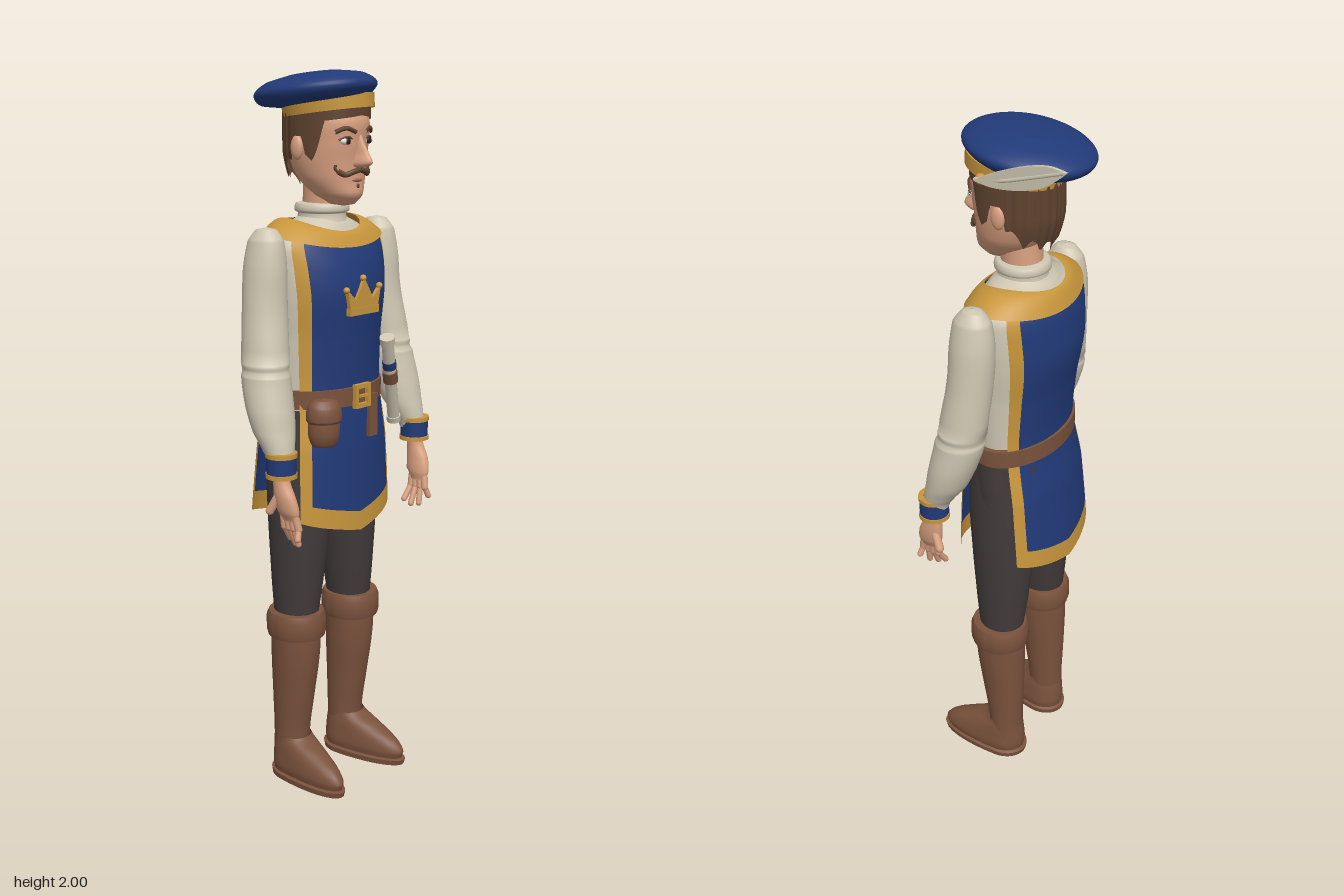
import * as THREE from 'three';
import { toCreasedNormals } from 'three/addons/utils/BufferGeometryUtils.js';
import { ParametricGeometry } from 'three/addons/geometries/ParametricGeometry.js';

const paint = (name, color) => Object.assign(new THREE.MeshStandardMaterial({ color, side: THREE.DoubleSide }), { name });
const V = (x, y, z) => new THREE.Vector3(x, y, z);
const flat = pts => pts.map(p => new THREE.Vector2(...p));

export function createModel() {
  const model = new THREE.Group();
  model.name = 'courtMessenger';
  const blue = paint('blueCloth', 0x213a78), gold = paint('goldTrim', 0xc8963c), leather = paint('brownLeather', 0x7a523c);
  const hairBrown = paint('hairBrown', 0x5f432f), linen = paint('creamLinen', 0xcfc7b3), charcoal = paint('charcoalCloth', 0x423b3b);
  const skin = paint('skin', 0xd9a080), dark = paint('eyeDark', 0x2a1d18), white = paint('eyeWhite', 0xe8e4dc), lip = paint('lip', 0xa8685a);

  function add(name, geometry, material, parent = model) {
    const mesh = new THREE.Mesh(geometry, material);
    mesh.name = name;
    parent.add(mesh);
    return mesh;
  }

  // Interpolate between rows of equal length: the first column in straight lines, the rest smoothly unless hard
  function sample(rows, v, smooth = true) {
    const n = rows.length - 1, t = Math.min(Math.max(v, 0), 1) * n, i = Math.min(Math.floor(t), n - 1), f = t - i;
    const p = k => rows[Math.min(Math.max(k, 0), n)];
    return rows[i].map((b, c) => {
      const d = p(i + 1)[c];
      if (!smooth || c === 0) return b + (d - b) * f;
      const m0 = (d - p(i - 1)[c]) / 2, m1 = (p(i + 2)[c] - b) / 2;
      return b + m0 * f + (3 * (d - b) - 2 * m0 - m1) * f * f + (2 * (b - d) + m0 + m1) * f * f * f;
    });
  }

  // Stack of ovals: [y, centre x, centre z, half width, front depth, back depth (same as front if left out)]
  function loft(name, material, ovals, { hard = false, parent = model, n = 32 } = {}) {
    const rows = ovals.map(([y, cx, cz, a, f, b = f]) => [y, cx, cz, a, f, b]);
    let g = new ParametricGeometry((u, v, out) => {
      const [y, cx, cz, a, f, b] = sample(rows, v, !hard), t = u * Math.PI * 2, c = Math.cos(t);
      out.set(cx + a * Math.sin(t), y, cz + (c > 0 ? f : b) * c);
    }, n, (rows.length - 1) * (hard ? 1 : 4));
    if (hard) g = toCreasedNormals(g, 0.6);
    add(name, g, material, parent);
  }
  // Closed band with crisp edges
  const band = (name, m, y0, y1, cx, cz, a, f, b = f) => loft(name, m,
    [[y0, cx, cz, a - 0.015, f - 0.015, b - 0.015], [y0, cx, cz, a, f, b], [y1, cx, cz, a, f, b], [y1, cx, cz, a - 0.015, f - 0.015, b - 0.015]], { hard: true });

  // Straight piece between two points
  function rod(name, m, p, q, r, round = true) {
    const d = q.clone().sub(p), len = d.length();
    const mesh = add(name, round ? new THREE.CapsuleGeometry(r, len, 5, 12) : new THREE.CylinderGeometry(r, r, len, 20), m);
    mesh.position.copy(p).addScaledVector(d, 0.5);
    mesh.quaternion.setFromUnitVectors(V(0, 1, 0), d.normalize());
  }
  function ball(name, m, x, y, z, a, b = a, c = a) {
    const mesh = add(name, new THREE.SphereGeometry(1, 20, 14), m);
    mesh.position.set(x, y, z);
    mesh.scale.set(a, b, c);
  }

  // Shirt, hips and stand-up collar
  loft('shirtBody', linen, [[1.1, 0, 0, 0.17, 0.115, 0.1], [1.3, 0, 0, 0.176, 0.128, 0.113], [1.42, 0, 0, 0.185, 0.14, 0.134],
    [1.52, 0, 0, 0.187, 0.12, 0.124], [1.565, 0, 0, 0.175, 0.1, 0.11], [1.6, 0, 0, 0.11, 0.08, 0.085], [1.625, 0, 0, 0.06, 0.06, 0.06]]);
  loft('collar', linen, [[1.58, 0, 0, 0.075, 0.08, 0.075], [1.63, 0, 0, 0.064, 0.068, 0.064], [1.635, 0, 0, 0.074, 0.077, 0.072],
    [1.655, 0, 0, 0.071, 0.074, 0.069], [1.66, 0, 0, 0.05, 0.05, 0.05]]);
  loft('hips', charcoal, [[0.85, 0, 0, 0.08, 0.05, 0.05], [0.92, 0, 0, 0.165, 0.105, 0.1], [1.0, 0, 0, 0.176, 0.116, 0.106], [1.15, 0, 0, 0.168, 0.115, 0.1]]);

  // Tabard: two wrapped panels with a pointed hem and gold border
  const arc = 1.06, edge = 0.79, trim = 0.055;
  function panel(name, side, rows) {
    const hem = u => 0.757 + 0.048 * Math.abs(u);
    const border = u => hem(u) + trim;
    const top = u => 1.56 + 0.025 * Math.sin(u * arc) ** 2;
    const piece = (part, m, u0, u1, low, high, n, k) => add(name + part, new ParametricGeometry((s, t, out) => {
      const u = u0 + (u1 - u0) * s, y = low(u) + (high(u) - low(u)) * t;
      let i = 0;
      while (i < rows.length - 2 && y > rows[i + 1][0]) i++;
      const f = (y - rows[i][0]) / (rows[i + 1][0] - rows[i][0]);
      const [, a, cz, b] = sample(rows, (i + f) / (rows.length - 1));
      out.set(side * a * Math.sin(u * arc), y, cz + side * b * Math.cos(u * arc));
    }, n, k), m);
    piece('Cloth', blue, -edge, edge, border, top, 24, 36);
    piece('Hem', gold, -1, 1, hem, border, 28, 3);
    for (const s of [-1, 1]) piece('SideTrim', gold, s < 0 ? -1 : edge, s < 0 ? -edge : 1, border, top, 4, 36);
  }
  panel('tabardFront', 1, [[0.74, 0.212, 0.04, 0.11], [1.0, 0.203, 0.03, 0.113], [1.15, 0.187, 0.01, 0.125], [1.3, 0.189, 0, 0.142],
    [1.42, 0.199, 0, 0.152], [1.5, 0.205, 0, 0.139], [1.56, 0.203, 0, 0.115], [1.62, 0.17, 0, 0.085]]);
  panel('tabardBack', -1, [[0.74, 0.212, -0.045, 0.113], [1.0, 0.203, -0.027, 0.108], [1.15, 0.187, 0, 0.112], [1.3, 0.189, 0, 0.125],
    [1.42, 0.199, 0, 0.146], [1.5, 0.205, 0, 0.142], [1.56, 0.203, 0, 0.13], [1.62, 0.17, 0, 0.1]]);
  add('tabardYoke', new ParametricGeometry((u, v, out) => {
    const t = u * Math.PI * 2, c = Math.cos(t), s2 = Math.sin(t) ** 2, back = (1 - c) / 2;
    const y0 = 1.545 + 0.028 * s2 + 0.01 * back, y1 = 1.586 + 0.022 * s2 + 0.022 * back;
    const a = 0.203 - 0.09 * v, b = 0.124 - 0.03 * v + back * 0.012;
    out.set(a * Math.sin(t), y0 + (y1 - y0) * Math.sin(v * Math.PI / 2), b * c);
  }, 48, 6), gold);

  // Crown ornament on the chest
  const points = [[-0.052, 1.37], [0.052, 1.37], [0.066, 1.438], [0.034, 1.41], [0, 1.465], [-0.034, 1.41], [-0.066, 1.438]];
  add('crownOrnament', new THREE.ExtrudeGeometry(new THREE.Shape(flat(points)), { depth: 0.012, bevelEnabled: false }), gold).position.z = 0.146;
  for (const i of [2, 4, 6]) ball('crownTip', gold, ...points[i], 0.152, 0.009);
  add('crownBase', new THREE.BoxGeometry(0.115, 0.02, 0.016), gold).position.set(0, 1.378, 0.152);

  // Belt, buckle, hanging end and pouch
  band('belt', leather, 1.118, 1.168, 0, 0, 0.19, 0.146, 0.12);
  const frame = new THREE.Shape(flat([[-0.03, -0.033], [0.03, -0.033], [0.03, 0.033], [-0.03, 0.033]]));
  frame.holes.push(new THREE.Path(flat([[-0.019, -0.021], [-0.019, 0.021], [0.019, 0.021], [0.019, -0.021]])));
  add('buckle', new THREE.ExtrudeGeometry(frame, { depth: 0.014, bevelEnabled: false }), gold).position.set(0, 1.143, 0.143);
  add('bucklePin', new THREE.BoxGeometry(0.04, 0.007, 0.008), gold).position.set(0.005, 1.143, 0.154);
  add('beltEnd', new THREE.BoxGeometry(0.034, 0.12, 0.01), leather).position.set(0.05, 1.08, 0.145);
  const pouch = new THREE.Group();
  pouch.name = 'pouch';
  pouch.position.set(-0.139, 1.02, 0.138);
  pouch.rotation.y = -0.5;
  model.add(pouch);
  loft('pouchBag', leather, [[0, 0, 0, 0.005, 0.005], [0.006, 0, 0, 0.032, 0.024], [0.035, 0, 0, 0.043, 0.034], [0.08, 0, 0, 0.042, 0.032], [0.12, 0, 0, 0.03, 0.02]], { parent: pouch });
  loft('pouchFlap', leather, [[0.07, 0, 0, 0.044, 0.037], [0.078, 0, 0, 0.049, 0.041], [0.11, 0, 0, 0.047, 0.037], [0.13, 0, 0, 0.035, 0.022], [0.137, 0, 0, 0.002, 0.002]], { parent: pouch });

  // Rolled scroll tucked in the belt
  const s0 = V(0.083, 1.295, 0.168), s1 = V(0.183, 1.035, 0.112), along = t => s0.clone().lerp(s1, t);
  rod('scroll', linen, s0, s1, 0.017, false);
  for (const [m, a, b, r] of [[linen, 0, 0.07, 0.021], [blue, 0.28, 0.36, 0.0195], [leather, 0.4, 0.52, 0.021], [linen, 0.94, 1, 0.02]])
    rod('scrollBand', m, along(a), along(b), r, false);

  for (const s of [-1, 1]) {
    const mirror = rows => rows.map(([y, x, ...r]) => [y, x * s, ...r]);
    // Sleeves, cuffs and hands
    loft('sleeve', linen, mirror([[1.0, 0.272, 0.105, 0.034, 0.034], [1.03, 0.27, 0.097, 0.042, 0.042], [1.08, 0.264, 0.074, 0.058, 0.056], [1.14, 0.26, 0.055, 0.065, 0.064],
      [1.22, 0.253, 0.035, 0.064, 0.068], [1.237, 0.25, 0.031, 0.06, 0.064], [1.255, 0.248, 0.028, 0.062, 0.066], [1.4, 0.232, 0.012, 0.06, 0.061],
      [1.5, 0.226, 0.008, 0.055, 0.061], [1.57, 0.222, 0.008, 0.044, 0.052], [1.6, 0.22, 0.008, 0.026, 0.03], [1.607, 0.22, 0.008, 0.001, 0.001]]));
    band('cuff', blue, 0.968, 1.028, 0.276 * s, 0.112, 0.04, 0.04);
    for (const y of [0.962, 1.018]) band('cuffTrim', gold, y, y + 0.012, 0.276 * s, 0.112, 0.0425, 0.0425);
    loft('palm', skin, mirror([[0.845, 0.268, 0.137, 0.012, 0.025], [0.87, 0.272, 0.133, 0.02, 0.036], [0.91, 0.277, 0.125, 0.022, 0.035],
      [0.95, 0.278, 0.115, 0.021, 0.025], [0.99, 0.276, 0.11, 0.022, 0.024]]));
    for (const [k, x, y, z] of [[0, 0.24, 0.785, 0.108], [1, 0.243, 0.775, 0.131], [2, 0.254, 0.778, 0.152], [3, 0.275, 0.8, 0.17]]) {
      const mid = V(s * 0.266, 0.825, 0.113 + k * 0.017);
      rod('finger', skin, V(s * 0.272, 0.87, 0.113 + k * 0.014), mid, 0.0105);
      rod('fingertip', skin, mid, V(s * x, y, z), 0.0085);
    }
    rod('thumb', skin, V(s * 0.282, 0.92, 0.112), V(s * 0.294, 0.868, 0.086), 0.012);

    // Legs and boots
    loft('leg', charcoal, mirror([[0.44, 0.113, 0.005, 0.056, 0.06], [0.6, 0.106, 0.005, 0.069, 0.077], [0.8, 0.096, 0.005, 0.084, 0.095],
      [0.95, 0.09, 0.004, 0.087, 0.106], [1.1, 0.085, 0, 0.08, 0.105]]));
    const boot = new THREE.Group();
    boot.name = 'boot';
    boot.position.x = 0.115 * s;
    model.add(boot);
    loft('bootShaft', leather, [[0.05, 0.003 * s, -0.01, 0.05, 0.055], [0.13, 0, -0.01, 0.051, 0.052], [0.25, 0, -0.003, 0.056, 0.063], [0.38, 0, 0.005, 0.064, 0.074], [0.47, 0, 0.007, 0.066, 0.076]], { parent: boot });
    loft('bootCuff', leather, [[0.445, 0, 0.009, 0.062, 0.07], [0.445, 0, 0.009, 0.079, 0.083], [0.46, 0, 0.009, 0.083, 0.087], [0.5, 0, 0.009, 0.083, 0.087], [0.517, 0, 0.009, 0.077, 0.08], [0.517, 0, 0.009, 0.055, 0.06]], { hard: true, parent: boot });
    const foot = new THREE.Group();
    foot.name = 'foot';
    foot.rotation.y = 0.1 * s;
    boot.add(foot);
    loft('sole', leather, [[0, 0, 0, 0.001, 0.001], [0, 0, 0, 0.06, 0.205, 0.072], [0.016, 0, 0, 0.062, 0.21, 0.075], [0.02, 0, 0, 0.055, 0.19, 0.065]], { hard: true, parent: foot });
    loft('bootFoot', leather, [[0.015, 0, 0, 0.054, 0.197, 0.065], [0.04, 0, 0, 0.058, 0.203, 0.068], [0.07, 0, 0, 0.056, 0.175, 0.067], [0.1, 0, 0, 0.053, 0.115, 0.064], [0.13, 0, 0, 0.048, 0.05, 0.058]], { parent: foot });

    // Ears, eyes, brows and moustache
    ball('ear', skin, s * 0.104, 1.805, 0.008, 0.012, 0.032, 0.02);
    ball('eyeWhite', white, s * 0.042, 1.823, 0.125, 0.019, 0.01, 0.01);
    ball('iris', dark, s * 0.041, 1.823, 0.132, 0.009, 0.009, 0.005);
    const strip = (name, r, ...pts) => add(name, new THREE.TubeGeometry(new THREE.CatmullRomCurve3(pts.map(([x, y, z]) => V(s * x, y, z))), 12, r, 8), hairBrown);
    strip('upperLid', 0.003, [0.022, 1.827, 0.132], [0.042, 1.834, 0.132], [0.063, 1.826, 0.12]);
    strip('brow', 0.006, [0.018, 1.846, 0.139], [0.045, 1.856, 0.13], [0.07, 1.846, 0.112]);
    strip('moustache', 0.0075, [0, 1.749, 0.138], [0.022, 1.744, 0.135], [0.043, 1.737, 0.124], [0.058, 1.746, 0.112]);
    strip('moustacheTip', 0.004, [0.055, 1.742, 0.114], [0.064, 1.752, 0.108], [0.063, 1.762, 0.108]);
  }

  // Head, neck and face
  loft('neck', skin, [[1.58, 0, 0, 0.056, 0.058], [1.66, 0, 0.005, 0.054, 0.056], [1.74, 0, 0.01, 0.056, 0.056]]);
  loft('head', skin, [[1.652, 0, 0.08, 0.004, 0.004], [1.657, 0, 0.075, 0.03, 0.035, 0.04], [1.68, 0, 0.055, 0.057, 0.077, 0.07], [1.72, 0, 0.035, 0.082, 0.096, 0.09],
    [1.77, 0, 0.022, 0.095, 0.111, 0.105], [1.82, 0, 0.02, 0.1, 0.119, 0.112], [1.88, 0, 0.02, 0.1, 0.12, 0.115], [1.94, 0, 0.01, 0.08, 0.09, 0.09]]);
  loft('nose', skin, [[1.752, 0, 0.12, 0.003, 0.012], [1.757, 0, 0.12, 0.016, 0.045], [1.768, 0, 0.12, 0.019, 0.06], [1.79, 0, 0.12, 0.013, 0.049], [1.82, 0, 0.12, 0.01, 0.03], [1.85, 0, 0.12, 0.009, 0.018]], { n: 20 });
  ball('mouth', lip, 0, 1.722, 0.127, 0.02, 0.006, 0.008);
  ball('chinTuft', hairBrown, 0, 1.706, 0.128, 0.008, 0.008, 0.006);

  // Hair: fringe, sideburns and uneven strands behind
  const hairLine = [[0, 1.888], [0.95, 1.875], [1.12, 1.8], [1.25, 1.772], [1.42, 1.79], [1.5, 1.835], [1.75, 1.835], [1.85, 1.76], [2.2, 1.725], [3.15, 1.7]];
  add('hair', new ParametricGeometry((u, v, out) => {
    const t = (u * 2 - 1) * Math.PI, w = Math.abs(t), c = Math.cos(t);
    const i = Math.max(hairLine.findIndex(p => p[0] >= w), 1), [w0, y0] = hairLine[i - 1], [w1, y1] = hairLine[i];
    const low = y0 + (y1 - y0) * (w - w0) / (w1 - w0) + (w > 1.85 ? 0.028 * Math.abs(Math.sin(w * 7)) : 0);
    const y = low + (1.935 - low) * v, k = 1 - 0.22 * Math.max(0, (1.8 - y) / 0.1) ** 1.5;
    const r = 1 + (w > 1.85 ? 0.015 * Math.sin(w * 28) : 0);
    out.set(0.108 * r * (0.3 + 0.7 * k) * Math.sin(t), y, 0.02 + (c > 0 ? 0.123 : 0.127 * k * r) * c);
  }, 120, 12), hairBrown);

  // Tilted beret with gold band
  const hat = new THREE.Group();
  hat.name = 'beret';
  hat.position.set(-0.02, 1.953, -0.005);
  hat.rotation.set(-0.12, 0, 0.03);
  model.add(hat);
  loft('beretCrown', blue, [[-0.04, 0.018, 0.015, 0.1, 0.12], [-0.028, 0, 0, 0.135, 0.155], [-0.008, 0, 0, 0.152, 0.174], [0.01, 0, 0, 0.148, 0.169], [0.03, 0, 0, 0.118, 0.135], [0.042, 0, 0, 0.06, 0.07], [0.045, 0, 0, 0.001, 0.001]], { parent: hat, n: 48 });
  loft('beretBand', gold, [[-0.063, 0.02, 0.022, 0.1, 0.118], [-0.063, 0.02, 0.022, 0.112, 0.131], [-0.026, 0.02, 0.022, 0.114, 0.133], [-0.026, 0.02, 0.022, 0.1, 0.118]], { parent: hat, hard: true, n: 48 });

  // Feather held by a gold button
  const plume = new THREE.Shape();
  plume.moveTo(-0.05, 1.908);
  plume.splineThru(flat([[0, 1.902], [0.07, 1.91], [0.14, 1.932], [0.185, 1.962], [0.21, 1.985]]));
  plume.splineThru(flat([[0.16, 1.99], [0.1, 1.977], [0.03, 1.95], [-0.02, 1.926], [-0.05, 1.908]]));
  const feather = add('feather', new THREE.ExtrudeGeometry(plume, { depth: 0.009, bevelEnabled: false, curveSegments: 8 }), linen);
  feather.rotation.y = Math.PI / 2;
  feather.position.x = 0.136;
  add('featherQuill', new THREE.TubeGeometry(new THREE.CatmullRomCurve3([V(0.132, 1.905, 0.055), V(0.141, 1.925, -0.03), V(0.141, 1.955, -0.12), V(0.141, 1.983, -0.2)]), 16, 0.006, 8), linen);
  ball('featherButton', gold, 0.122, 1.905, 0.045, 0.014);
  return model;
}
